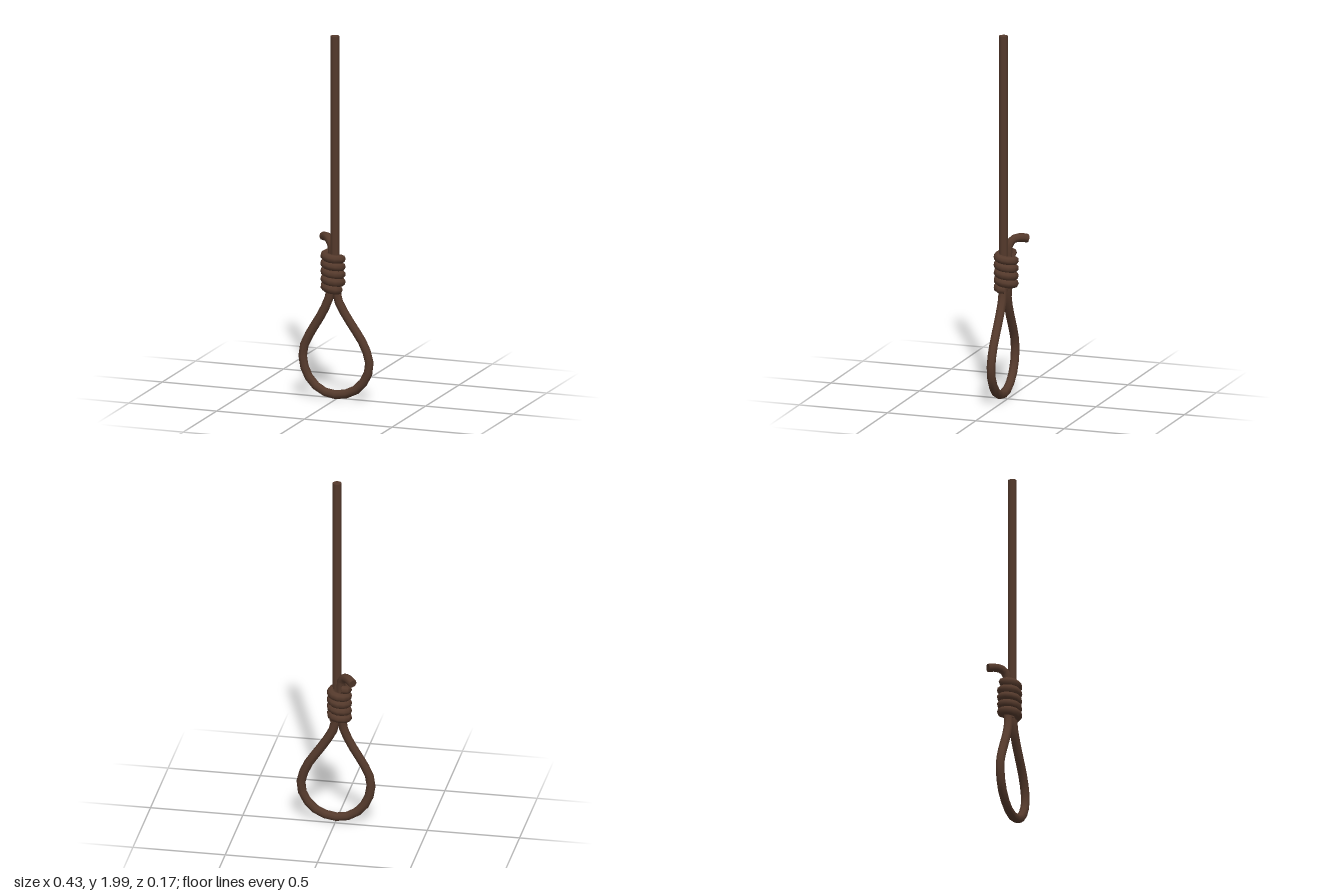
import * as THREE from 'three';

const R = 0.0245; // rope radius
const SIDES = 8;

export function createModel() {
  const model = new THREE.Group();
  model.name = 'knottedRope';
  const rope = new THREE.MeshStandardMaterial({ color: 0x553a2c });
  rope.name = 'brown rope';

  const curveOf = (pts) =>
    new THREE.CatmullRomCurve3(pts.map((p) => new THREE.Vector3(...p)), false, 'centripetal');

  // A length of rope swept along a curve
  function strand(name, pts, segments, radius = R) {
    const curve = curveOf(pts);
    const group = new THREE.Group();
    group.name = name;
    const body = new THREE.Mesh(new THREE.TubeGeometry(curve, segments, radius, SIDES), rope);
    body.name = name + 'Body';
    group.add(body);
    // flat cut at both ends
    const frames = curve.computeFrenetFrames(segments, false);
    for (const [t, sign] of [[0, -1], [1, 1]]) {
      const cap = new THREE.Mesh(new THREE.CircleGeometry(radius, SIDES), rope);
      cap.name = name + 'End';
      const i = t * segments;
      const n = frames.normals[i];
      const dir = frames.tangents[i].clone().multiplyScalar(sign);
      cap.quaternion.setFromRotationMatrix(
        new THREE.Matrix4().makeBasis(n, dir.clone().cross(n), dir));
      cap.position.copy(curve.getPointAt(t));
      group.add(cap);
    }
    model.add(group);
  }

  // Long hanging rope, running down through the knot
  strand('mainRope', [[-0.006, 2, 0.026], [-0.006, 1.3, 0.026], [-0.006, 0.6, 0.026]], 4);

  // Teardrop loop below the knot
  strand('loop', [
    [-0.006, 0.66, 0.026], [0.013, 0.55, 0.026], [0.078, 0.44, 0.026], [0.155, 0.325, 0.026],
    [0.19, 0.22, 0.026], [0.172, 0.14, 0.026], [0.105, 0.064, 0.026], [0, 0.033, 0.026],
    [-0.09, 0.055, 0.026], [-0.163, 0.13, 0.026], [-0.19, 0.23, 0.026], [-0.178, 0.30, 0.025],
    [-0.13, 0.39, 0.023], [-0.072, 0.49, 0.02], [-0.038, 0.58, 0.016], [-0.034, 0.68, 0.008],
  ], 26);

  // Coils wound around the strands, with both ends tucked inwards
  const coil = [];
  const TURNS = 4.7, PER_TURN = 12;
  const steps = Math.round(TURNS * PER_TURN);
  for (let i = 0; i <= steps; i++) {
    const a = (i / PER_TURN) * Math.PI * 2;
    const r = i === 0 || i === steps ? 0.03 : 0.045;
    coil.push([-0.021 + r * Math.cos(a), 0.607 + 0.042 * (i / PER_TURN), 0.016 + r * Math.sin(a)]);
  }
  strand('knotCoils', coil, steps, 0.0235);

  // Short free end bending out of the top of the knot
  strand('tail', [
    [-0.028, 0.66, 0.008], [-0.028, 0.8, 0.008], [-0.036, 0.85, 0.004], [-0.055, 0.874, -0.012],
    [-0.082, 0.88, -0.042], [-0.11, 0.871, -0.073],
  ], 12, 0.0235);

  return model;
}
